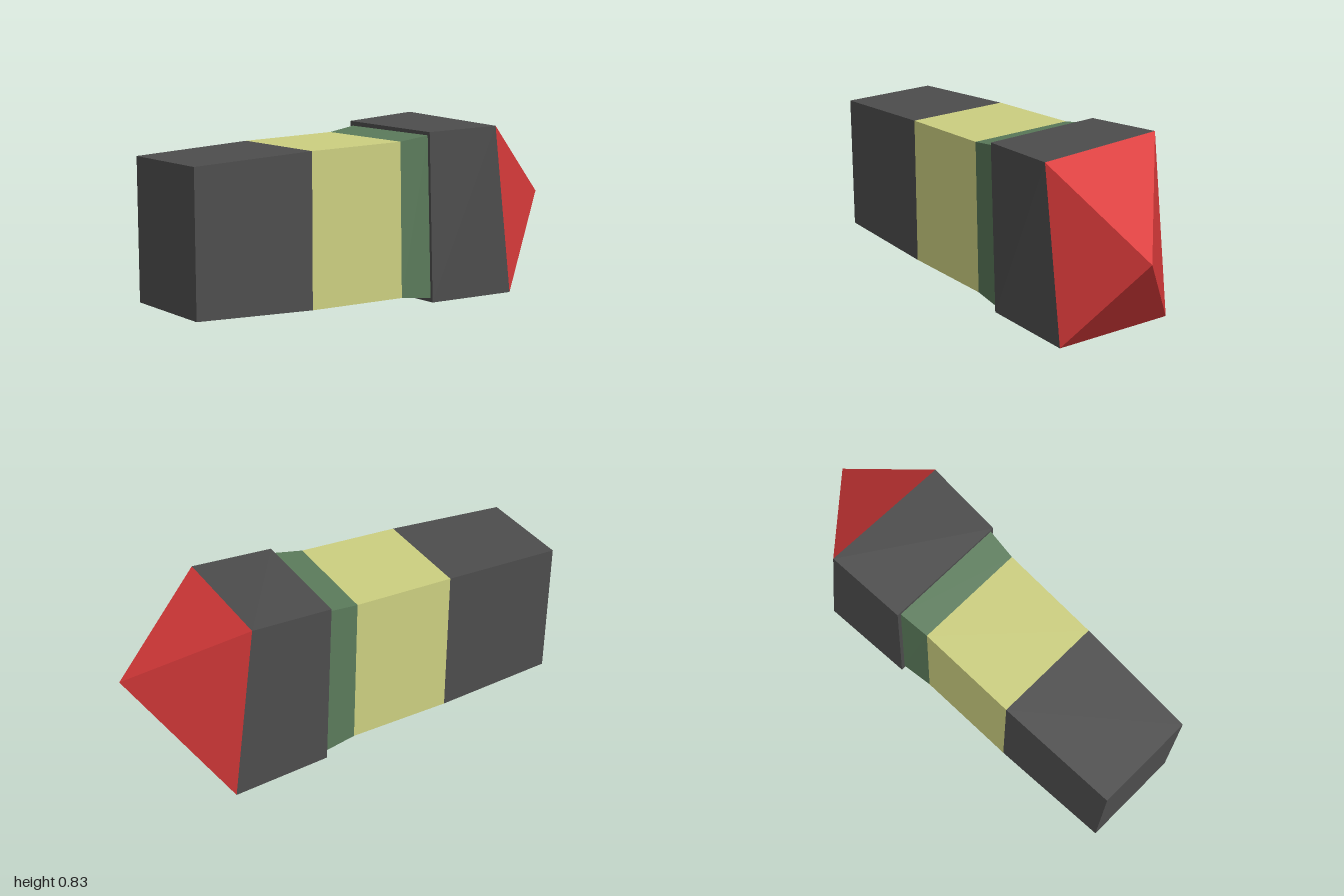
import * as THREE from 'three';

const paint = (name, color) => Object.assign(new THREE.MeshStandardMaterial({ color }), { name });

// Four corners, in order: top front, top back, bottom back, bottom front.
// tilt raises the back top corner and lowers the back bottom corner.
const ring = (xTop, xBottom, yTop, yBottom, zFront, zBack, tilt = 0) => [
  [xTop, yTop, zFront],
  [xTop, yTop + tilt, zBack],
  [xBottom, yBottom - tilt, zBack],
  [xBottom, yBottom, zFront],
];

// Skin between two rings (b lies further along +x), with optional end faces
function section(name, a, b, material, { startCap = false, endCap = false } = {}) {
  const points = [];
  const quad = (p, q, r, s) => points.push(...p, ...q, ...r, ...p, ...r, ...s);
  for (let i = 0; i < 4; i++) {
    const j = (i + 1) % 4;
    quad(a[i], b[i], b[j], a[j]);
  }
  if (startCap) quad(a[0], a[1], a[2], a[3]);
  if (endCap) quad(b[2], b[1], b[0], b[3]);
  return toMesh(name, points, material);
}

// Pyramid from a ring to a single point
function pyramid(name, base, tip, material) {
  const points = [];
  for (let i = 0; i < 4; i++) points.push(...base[i], ...tip, ...base[(i + 1) % 4]);
  return toMesh(name, points, material);
}

function toMesh(name, points, material) {
  const geometry = new THREE.BufferGeometry();
  geometry.setAttribute('position', new THREE.Float32BufferAttribute(points, 3));
  geometry.computeVertexNormals();
  const mesh = new THREE.Mesh(geometry, material);
  mesh.name = name;
  return mesh;
}

export function createModel() {
  const dark = paint('charcoal', 0x4d4d4d);
  const yellow = paint('pale yellow', 0xcccf80);
  const green = paint('moss green', 0x5b7b5b);
  const red = paint('red', 0xd93a3a);

  // Cross-sections along the body
  const tail = ring(-1, -1, 0.737, 0.106, 0.238, -0.226);
  const bandStart = ring(-0.435, -0.435, 0.762, 0.08, 0.255, -0.248);
  const bandEnd = ring(0.035, 0.047, 0.771, 0.071, 0.263, -0.255);
  const neckEnd = ring(0.18, 0.203, 0.791, 0.052, 0.277, -0.27);
  const collarStart = ring(0.178, 0.203, 0.806, 0.034, 0.291, -0.288, 0.006);
  const collarEnd = ring(0.556, 0.66, 0.813, 0.026, 0.308, -0.308, 0.02);

  const group = new THREE.Group();
  group.name = 'model';
  group.add(
    section('tailBlock', tail, bandStart, dark, { startCap: true }),
    section('yellowBand', bandStart, bandEnd, yellow),
    section('greenNeck', bandEnd, neckEnd, green),
    section('collar', collarStart, collarEnd, dark, { startCap: true }),
    pyramid('pointedTip', collarEnd, [1, 0.455, 0.12], red),
  );
  return group;
}
